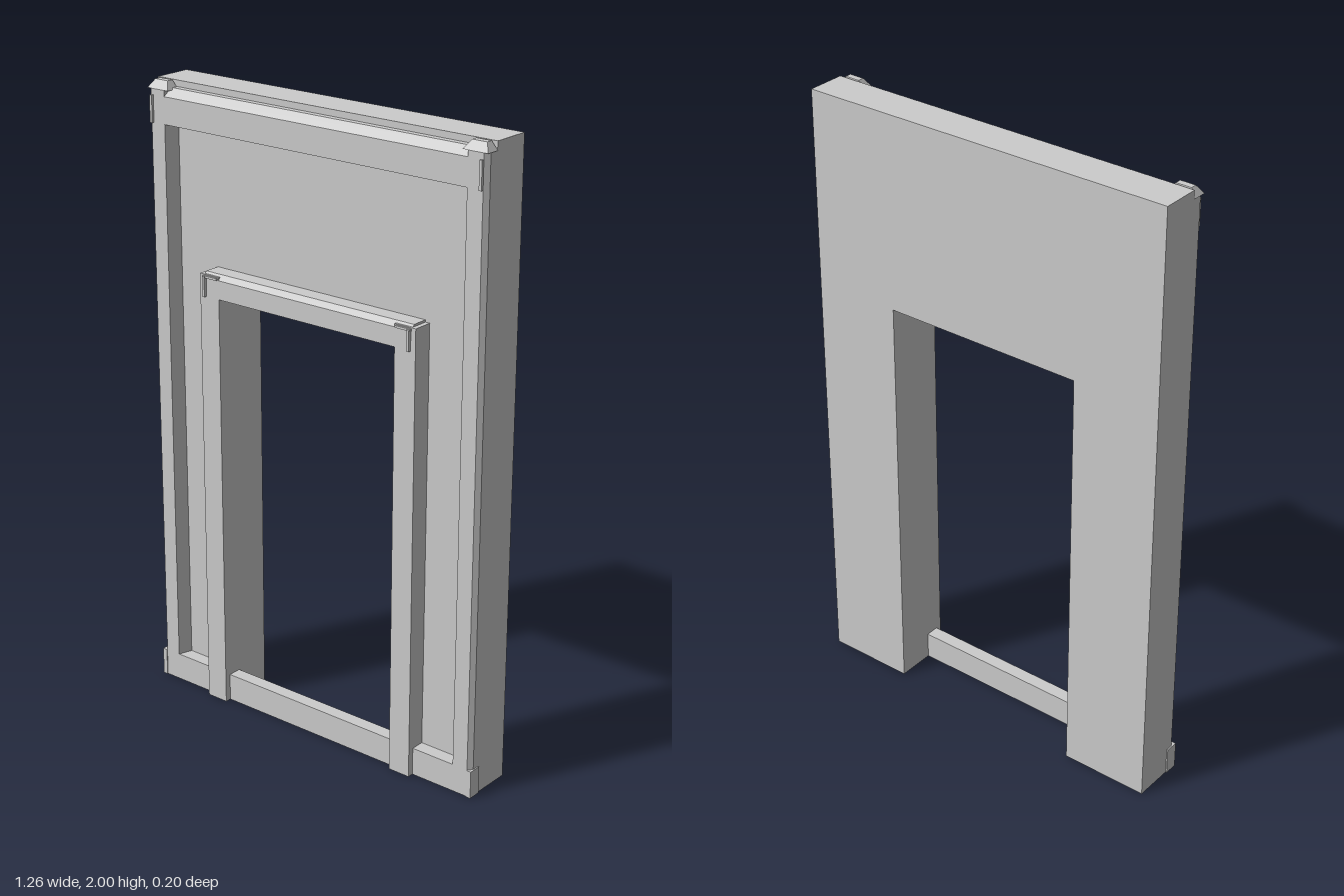
import * as THREE from 'three';

export function createModel() {
  const model = new THREE.Group();
  model.name = 'doorwayWall';
  const stone = new THREE.MeshStandardMaterial({ color: 0xcccccc, flatShading: true });
  stone.name = 'lightGrey';

  const add = (name, geometry) => {
    const mesh = new THREE.Mesh(geometry, stone);
    mesh.name = name;
    model.add(mesh);
    return mesh;
  };
  // Box given by its minimum and maximum on each axis
  const box = (name, x0, x1, y0, y1, z0, z1) =>
    add(name, new THREE.BoxGeometry(x1 - x0, y1 - y0, z1 - z0)
      .translate((x0 + x1) / 2, (y0 + y1) / 2, (z0 + z1) / 2));
  const outline = (points) => new THREE.Shape(points.map(([x, y]) => new THREE.Vector2(x, y)));
  const extrude = (points, depth) =>
    new THREE.ExtrudeGeometry(outline(points), { depth, bevelEnabled: false });
  // Horizontal beam, centred on x, from a (z, y) section
  const beam = (name, section, halfWidth) =>
    add(name, extrude(section.map(([z, y]) => [-z, y]), halfWidth * 2)
      .rotateY(Math.PI / 2).translate(-halfWidth, 0, 0));
  // Upright post from an (x, z) section
  const post = (name, section, y0, y1) =>
    add(name, extrude(section.map(([x, z]) => [x, -z]), y1 - y0)
      .rotateX(-Math.PI / 2).translate(0, y0, 0));

  // Wall slab with the door opening
  add('wallSlab', extrude([
    [-0.625, 0], [-0.335, 0], [-0.335, 1.37], [0.335, 1.37],
    [0.335, 0], [0.625, 0], [0.625, 2], [-0.625, 2],
  ], 0.125).translate(0, 0, -0.1));

  // Outer frame: sill and sloped top beam
  box('sill', -0.625, 0.625, 0, 0.09, 0.025, 0.07);
  beam('topBeam', [[0.025, 1.87], [0.07, 1.87], [0.07, 1.955], [0.045, 1.98], [0.025, 1.98]], 0.613);

  // Door lintel with sloped top
  beam('doorLintel', [[0.025, 1.37], [0.09, 1.37], [0.09, 1.43], [0.078, 1.447], [0.025, 1.447]], 0.395);

  for (const s of [-1, 1]) {
    const side = s > 0 ? 'left' : 'right';
    const span = (a, b) => (s > 0 ? [a, b] : [-b, -a]);

    // Bevelled outer post
    post(side + 'Post', [
      [0.545, 0.025], [0.625, 0.025], [0.625, 0.055], [0.613, 0.07], [0.56, 0.07],
    ].map(([x, z]) => [x * s, z]), 0.09, 1.975);
    box(side + 'PostFoot', ...span(0.613, 0.629), 0, 0.09, 0.03, 0.073);

    // Tapered cap on top of the outer post
    const cap = new THREE.BoxGeometry(0.084, 0.026, 0.045);
    const p = cap.attributes.position;
    for (let i = 0; i < p.count; i++) {
      if (p.getY(i) > 0) p.setXYZ(i, p.getX(i) * 0.6, p.getY(i), p.getZ(i) * 0.45 - 0.006);
    }
    cap.computeVertexNormals();
    add(side + 'PostCap', cap.translate(s * 0.585, 1.987, 0.0485));
    box(side + 'CornerStrip', ...span(0.604, 0.613), 1.87, 1.955, 0.065, 0.078);

    // Door jamb, its top cap and corner strip
    box(side + 'DoorPost', ...span(0.335, 0.41), 0, 1.44, 0.025, 0.09);
    box(side + 'DoorCap', ...span(0.34, 0.395), 1.43, 1.437, 0.078, 0.096);
    box(side + 'DoorStrip', ...span(0.385, 0.393), 1.37, 1.435, 0.085, 0.1);
  }
  return model;
}
